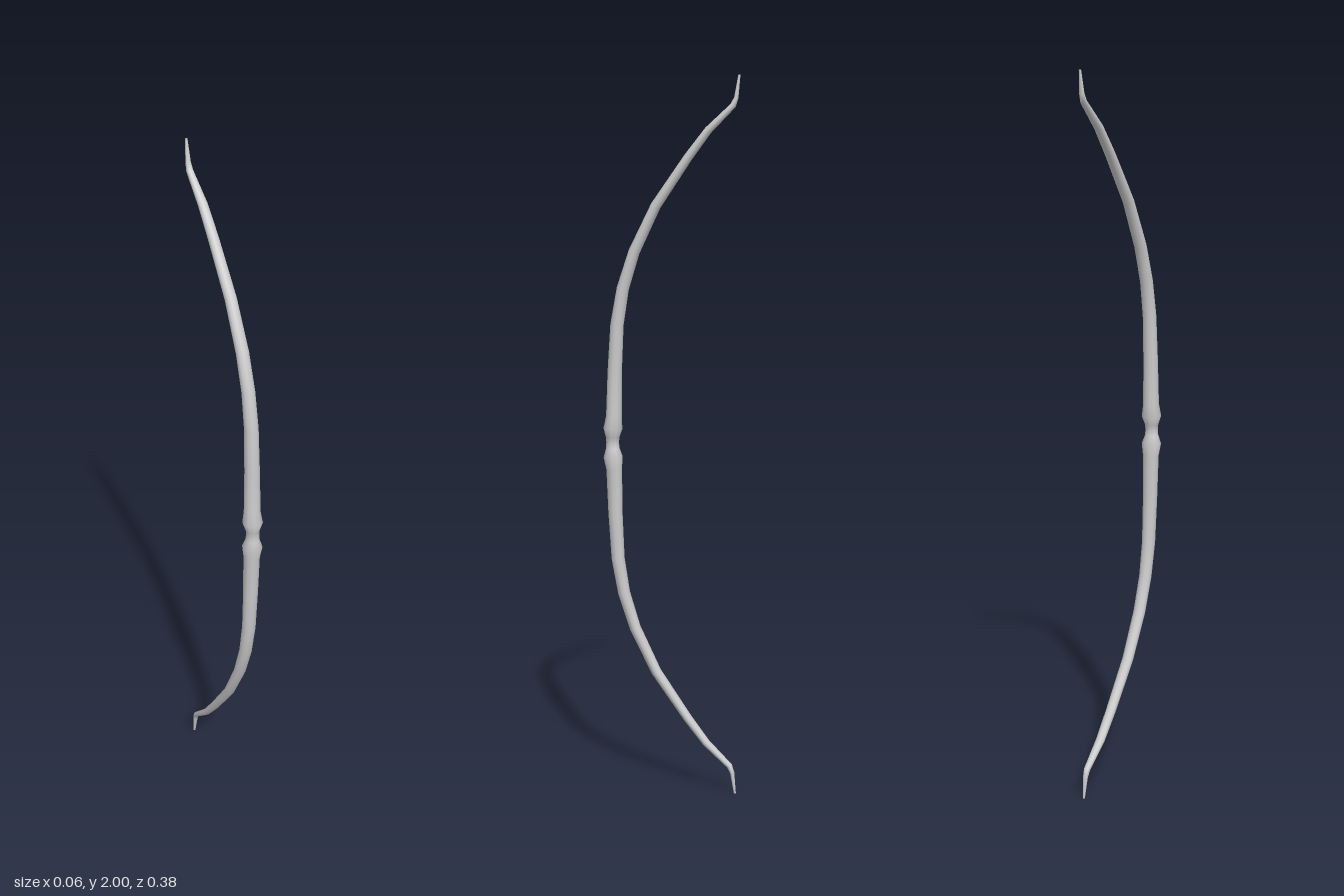
import * as THREE from 'three';

const SIDES = 10;

// Sections from the middle of the grip to the upper tip:
// height, depth, half width (x), half thickness (along the bend)
const HALF = [
  [1.0, 0.165, 0.018, 0.018],
  [1.015, 0.165, 0.019, 0.019],
  [1.04, 0.164, 0.0285, 0.0265],
  [1.075, 0.161, 0.023, 0.022],
  [1.2, 0.158, 0.021, 0.020],
  [1.33, 0.151, 0.0195, 0.0185],
  [1.43, 0.134, 0.0185, 0.017],
  [1.53, 0.102, 0.018, 0.0155],
  [1.655, 0.041, 0.0165, 0.014],
  [1.785, -0.049, 0.015, 0.012],
  [1.855, -0.103, 0.0135, 0.0105],
  [1.92, -0.171, 0.0095, 0.008],
  [1.94, -0.179, 0.0075, 0.006],
  [2.0, -0.187, 0.003, 0.003],
];

// Lofts a closed tube through sections lying in the yz plane
function loft(sections) {
  const positions = [], index = [];
  const last = sections.length - 1;
  sections.forEach(([y, z, w, d], i) => {
    const a = sections[Math.max(i - 1, 0)], b = sections[Math.min(i + 1, last)];
    const before = new THREE.Vector2(y - a[0], z - a[1]).normalize();
    const after = new THREE.Vector2(b[0] - y, b[1] - z).normalize();
    const t = before.add(after).normalize();
    if (i === 0 || i === last) t.set(1, 0); // level ends
    for (let k = 0; k < SIDES; k++) {
      const ang = (k / SIDES) * Math.PI * 2;
      const s = Math.sin(ang) * d;
      positions.push(Math.cos(ang) * w, y - t.y * s, z + t.x * s);
    }
  });
  for (let i = 0; i < last; i++) {
    for (let k = 0; k < SIDES; k++) {
      const a = i * SIDES + k, b = i * SIDES + (k + 1) % SIDES;
      index.push(a, a + SIDES, b, b, a + SIDES, b + SIDES);
    }
  }
  // End caps
  const top = last * SIDES;
  for (let k = 1; k < SIDES - 1; k++) {
    index.push(0, k, k + 1, top, top + k + 1, top + k);
  }
  const geo = new THREE.BufferGeometry();
  geo.setAttribute('position', new THREE.Float32BufferAttribute(positions, 3));
  geo.setIndex(index);
  geo.computeVertexNormals();
  return geo;
}

export function createModel() {
  const group = new THREE.Group();
  group.name = 'bow';
  const material = new THREE.MeshStandardMaterial({ color: 0xcccccc });

  // Lower half mirrors the upper half about the grip
  const lower = HALF.slice(1).reverse().map(([y, z, w, d]) => [2 - y, z, w, d]);
  const stave = new THREE.Mesh(loft([...lower, ...HALF]), material);
  stave.name = 'bowStave';
  group.add(stave);
  return group;
}
